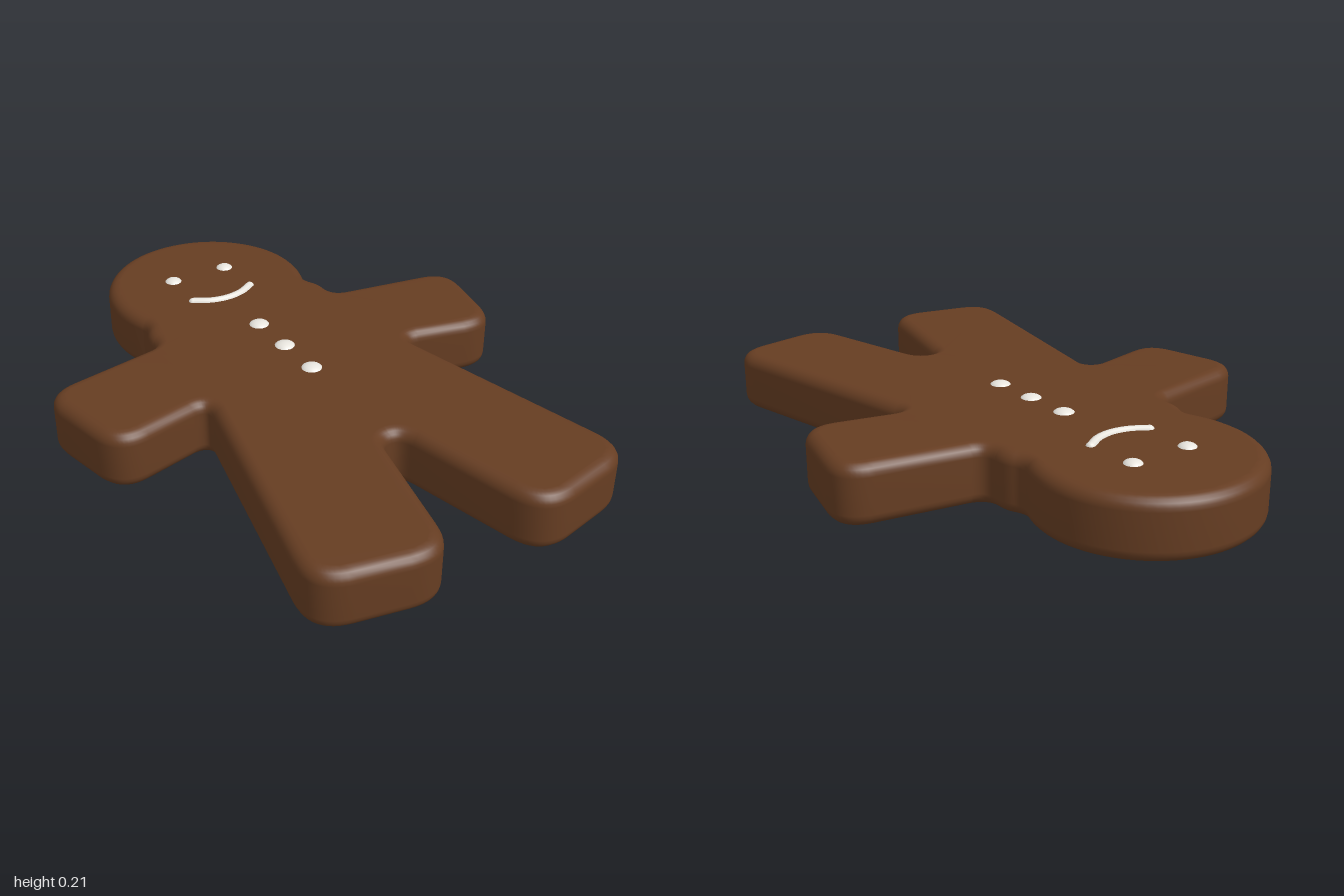
import * as THREE from 'three';
import { mergeVertices } from 'three/addons/utils/BufferGeometryUtils.js';

const dough = new THREE.MeshStandardMaterial({ color: 0x663d22 });
dough.name = 'gingerbread brown';
const icing = new THREE.MeshStandardMaterial({ color: 0xf0ede6 });
icing.name = 'icing white';

const TOP = 0.198;
const BEVEL = 0.04;

// Left half of the outline in (x, z), from the crown of the head to the crotch
function halfOutline() {
  const path = new THREE.Path();
  path.absarc(0, -0.645, 0.355, -Math.PI / 2, 0.4, false);
  path.quadraticCurveTo(0.318, -0.48, 0.335, -0.45);
  path.quadraticCurveTo(0.35, -0.42, 0.348, -0.385);
  // corner x, z and how far back along each edge its rounding starts
  const corners = [
    [0.348, -0.338, 0.045], // neck to shoulder
    [0.8, -0.258, 0.12], // hand
    [0.715, 0.128, 0.12],
    [0.372, 0.05, 0.06], // armpit
    [0.562, 0.932, 0.13], // foot
    [0.155, 1.018, 0.13],
    [0.036, 0.5, 0.05], // crotch
    [0, 0.5, 0],
  ].map(([x, z, r]) => ({ p: new THREE.Vector2(x, z), r }));
  let previous = path.currentPoint.clone();
  corners.forEach(({ p, r }, i) => {
    const next = corners[i + 1];
    if (!next) return path.lineTo(p.x, p.y);
    const toward = (q) => p.clone().lerp(q, Math.min(0.95, r / p.distanceTo(q)));
    const a = toward(previous);
    const b = toward(next.p);
    path.lineTo(a.x, a.y);
    path.quadraticCurveTo(p.x, p.y, b.x, b.y);
    previous = p;
  });
  return path.getPoints(12);
}

// Soft-edged slab from the mirrored outline
function bodyGeometry() {
  const half = halfOutline();
  const mirrored = half
    .filter((p) => p.x > 1e-4)
    .reverse()
    .map((p) => new THREE.Vector2(-p.x, p.y));
  const geometry = new THREE.ExtrudeGeometry(new THREE.Shape([...half, ...mirrored]), {
    depth: TOP - 0.003 - 2 * BEVEL,
    bevelThickness: BEVEL,
    bevelSize: BEVEL,
    bevelOffset: -BEVEL,
    bevelSegments: 5,
  });
  geometry.rotateX(Math.PI / 2).translate(0, TOP - BEVEL, 0);
  geometry.deleteAttribute('uv');
  geometry.deleteAttribute('normal');
  const smooth = mergeVertices(geometry, 1e-4);
  smooth.computeVertexNormals();
  return smooth;
}

export function createModel() {
  const group = new THREE.Group();
  group.name = 'gingerbreadCookie';
  const add = (name, geometry, material, x = 0, y = 0, z = 0) => {
    const mesh = new THREE.Mesh(geometry, material);
    mesh.name = name;
    mesh.position.set(x, y, z);
    group.add(mesh);
    return mesh;
  };

  add('body', bodyGeometry(), dough);

  // Icing dots: low domes sunk into the top face
  const dot = (name, radius, x, z) => {
    const mesh = add(name, new THREE.SphereGeometry(radius, 20, 12), icing, x, TOP - 0.008, z);
    mesh.scale.y = 0.02 / radius;
  };
  dot('leftEye', 0.032, 0.105, -0.705);
  dot('rightEye', 0.032, -0.105, -0.705);
  [-0.27, -0.103, 0.063].forEach((z, i) => dot(`button${i + 1}`, 0.037, 0, z));

  // Smile: a curved bead of icing with round ends
  const y = TOP - 0.005;
  const curve = new THREE.CatmullRomCurve3(
    [[-0.115, -0.534], [-0.06, -0.503], [0, -0.492], [0.06, -0.503], [0.115, -0.534]].map(
      ([x, z]) => new THREE.Vector3(x, y, z)
    )
  );
  add('smile', new THREE.TubeGeometry(curve, 24, 0.016, 10), icing);
  for (const x of [-0.115, 0.115]) {
    add('smileEnd', new THREE.SphereGeometry(0.016, 12, 8), icing, x, y, -0.534);
  }
  return group;
}
